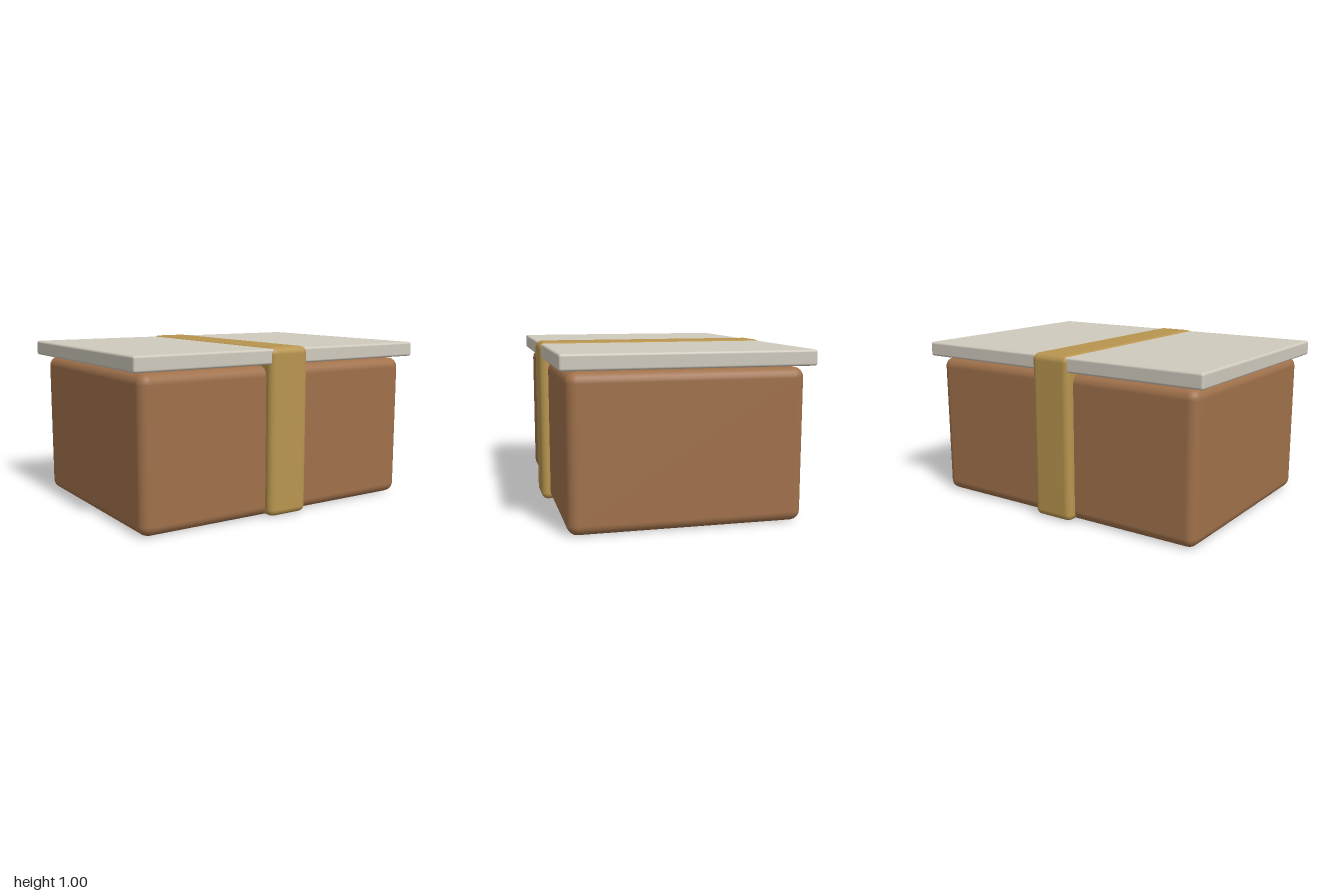
import * as THREE from 'three';
import { RoundedBoxGeometry } from 'three/addons/geometries/RoundedBoxGeometry.js';

function material(name, color) {
  const m = new THREE.MeshStandardMaterial({ color });
  m.name = name;
  return m;
}

// Rounded block centred on x and z, spanning y0 to y1
function block(name, mat, width, depth, y0, y1, radius, segments) {
  const geometry = new RoundedBoxGeometry(width, y1 - y0, depth, segments, radius);
  const mesh = new THREE.Mesh(geometry, mat);
  mesh.name = name;
  mesh.position.y = (y0 + y1) / 2;
  return mesh;
}

export function createModel() {
  const brown = material('brown', 0xa0714b);
  const stone = material('pale stone', 0xd0cabd);
  const gold = material('gold', 0xb8954f);

  const group = new THREE.Group();
  group.name = 'box';
  group.add(
    // Soft-cornered container
    block('body', brown, 1.89, 1.36, 0, 0.893, 0.06, 3),
    // Thin overhanging lid
    block('lid', stone, 2, 1.44, 0.905, 0.995, 0.014, 3),
    // Band wrapping over the lid and down the front and back
    block('strap', gold, 0.27, 1.466, 0.002, 1.003, 0.04, 3)
  );
  return group;
}
